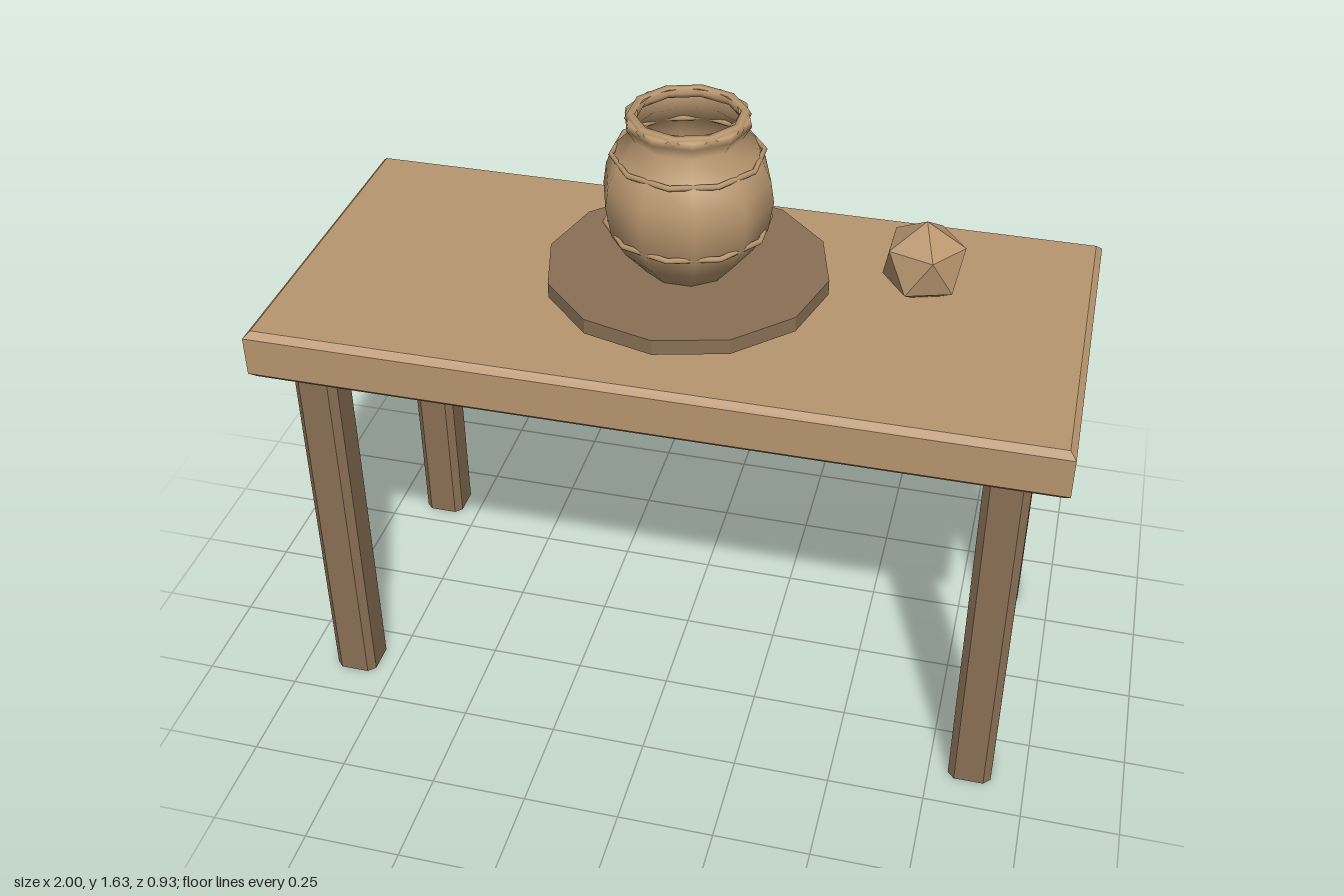
import * as THREE from 'three';

const lightWood = new THREE.MeshStandardMaterial({ color: 0xb8966f });
lightWood.name = 'lightWood';
const darkWood = new THREE.MeshStandardMaterial({ color: 0x8b7056 });
darkWood.name = 'darkWood';
const clay = new THREE.MeshStandardMaterial({ color: 0xb9976f });
clay.name = 'clay';
clay.side = THREE.DoubleSide;

// Rectangle outline with optionally cut corners
function outline(hw, hd, cut) {
  const pts = [];
  for (const [sx, sy, flip] of [[1, 1, 0], [-1, 1, 1], [-1, -1, 0], [1, -1, 1]]) {
    const a = new THREE.Vector2(sx * hw, sy * (hd - cut));
    const b = new THREE.Vector2(sx * (hw - cut), sy * hd);
    if (cut === 0) pts.push(a);
    else pts.push(...(flip ? [b, a] : [a, b]));
  }
  return new THREE.Shape(pts);
}

export function createModel() {
  const model = new THREE.Group();
  model.name = 'tableWithPot';
  const add = (name, geometry, material, x = 0, y = 0, z = 0) => {
    const mesh = new THREE.Mesh(geometry, material);
    mesh.name = name;
    mesh.position.set(x, y, z);
    model.add(mesh);
    return mesh;
  };

  // Table top with chamfered upper and lower edges
  const b = 0.016;
  const top = new THREE.ExtrudeGeometry(outline(1 - b, 0.463 - b, 0), {
    depth: 0.135 - 2 * b, bevelEnabled: true, bevelSegments: 1, bevelSize: b, bevelThickness: b,
  });
  top.rotateX(-Math.PI / 2);
  add('tableTop', top, lightWood, 0, 1.007 + b, 0);

  // Four legs with chamfered corners
  const leg = new THREE.ExtrudeGeometry(outline(0.056, 0.056, 0.018), { depth: 1.01, bevelEnabled: false });
  leg.rotateX(-Math.PI / 2);
  for (const sx of [-1, 1]) for (const sz of [-1, 1]) {
    add((sz > 0 ? 'front' : 'back') + (sx > 0 ? 'Left' : 'Right') + 'Leg', leg, darkWood, sx * 0.857, 0, sz * 0.357);
  }

  // Twelve-sided plate hovering over the table
  const plate = new THREE.CylinderGeometry(0.357, 0.357, 0.04, 12).toNonIndexed();
  plate.computeVertexNormals();
  add('plate', plate, darkWood, 0, 1.195, 0);

  // Open pot, ten sides, smooth
  const profile = [
    [0.112, 1.215], [0.165, 1.275], [0.2, 1.335], [0.213, 1.415], [0.205, 1.47],
    [0.182, 1.525], [0.133, 1.575], [0.155, 1.61], [0.152, 1.625], [0.125, 1.63],
  ].map(([r, y]) => new THREE.Vector2(r, y));
  const pot = add('pot', new THREE.LatheGeometry(profile, 10), clay);
  pot.rotation.y = Math.PI / 2;

  // Rings around the pot, turned half a side so they break through its facets
  const ring = (name, y, r, tube) => {
    const g = new THREE.TorusGeometry(r, tube, 6, 10);
    g.rotateX(Math.PI / 2);
    g.rotateY(Math.PI / 2);
    add(name, g, clay, 0, y, 0);
  };
  ring('lowerBand', 1.34, 0.203, 0.007);
  ring('upperBand', 1.525, 0.184, 0.007);
  ring('rim', 1.62, 0.136, 0.015);

  // Faceted stone with one corner pointing up
  const stone = new THREE.IcosahedronGeometry(0.113, 0);
  stone.rotateZ(-Math.PI / 2 + Math.atan(1.618));
  add('stone', stone, lightWood, 0.57, 1.217, -0.145);

  return model;
}
